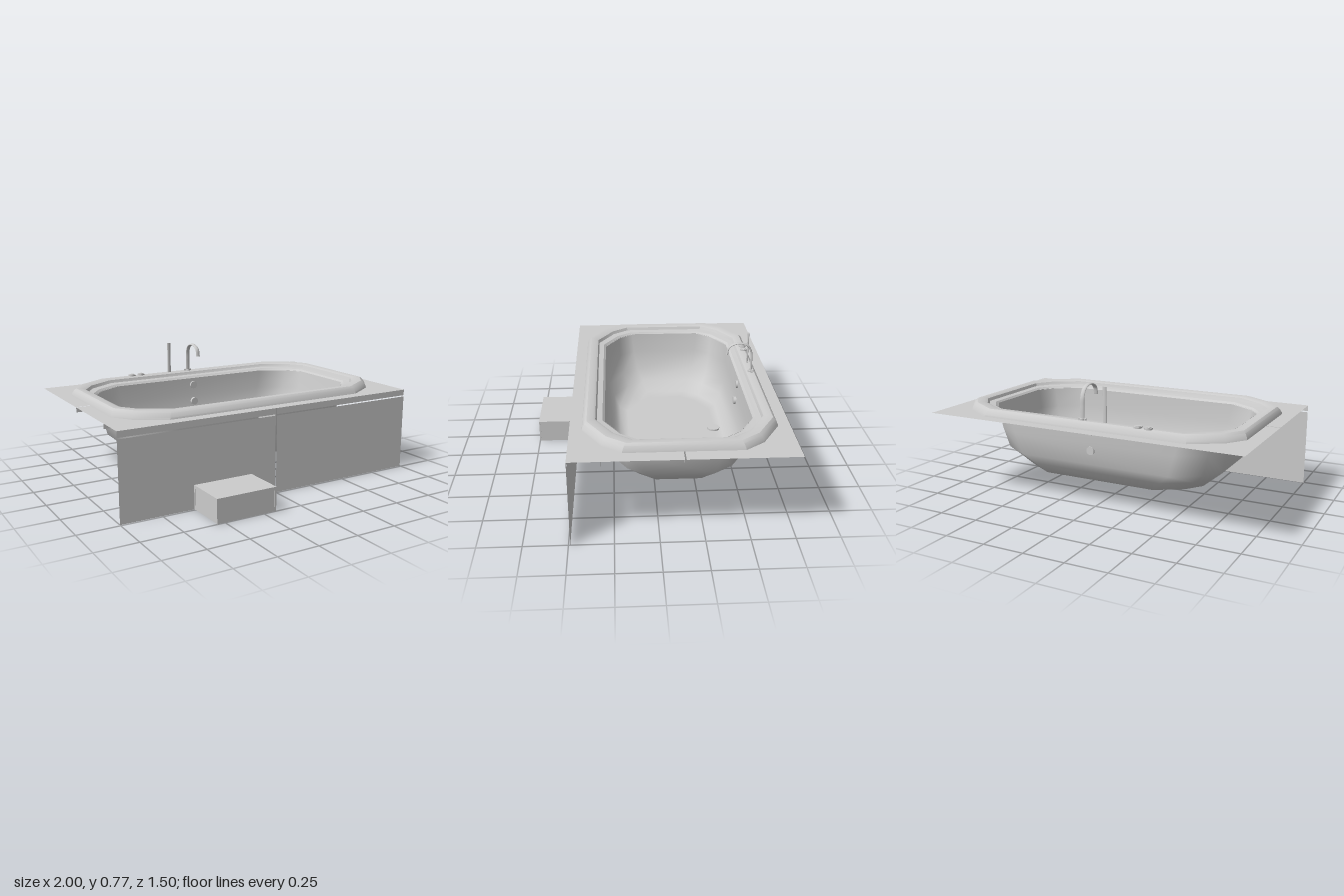
import * as THREE from 'three';
import { toCreasedNormals } from 'three/addons/utils/BufferGeometryUtils.js';

const CZ = -0.13; // centre of tub and deck in z
const DECK_Y = 0.52;
const GAP = 0.004; // half width of panel seams

export function createModel() {
  const root = new THREE.Group();
  const mat = new THREE.MeshStandardMaterial({ color: 0xcccccc, side: THREE.DoubleSide });

  const add = (name, geo, x = 0, y = 0, z = 0, parent = root) => {
    const m = new THREE.Mesh(geo, mat);
    m.name = name;
    m.position.set(x, y, z);
    parent.add(m);
    return m;
  };
  const group = (name) => {
    const g = new THREE.Group();
    g.name = name;
    root.add(g);
    return g;
  };

  // Sheets lying in the xy plane and in the zy plane
  const sheetXY = (name, x0, x1, y0, y1, z, parent) =>
    add(name, new THREE.PlaneGeometry(x1 - x0, y1 - y0), (x0 + x1) / 2, (y0 + y1) / 2, z, parent);
  const sheetZY = (name, z0, z1, y0, y1, x, parent) =>
    add(name, new THREE.PlaneGeometry(z1 - z0, y1 - y0).rotateY(Math.PI / 2), x, (y0 + y1) / 2, (z0 + z1) / 2, parent);

  // Twelve-sided outline with cut corners, as [x, z] pairs
  const outline = (hx, hz, k = 1) => {
    const c = [[hx, hz - 0.22 * k], [hx - 0.08 * k, hz - 0.11 * k], [hx - 0.26 * k, hz]];
    const flip = (sx, sz) => c.map(([x, z]) => [x * sx, z * sz]);
    return [...c, ...flip(-1, 1).reverse(), ...flip(-1, -1), ...flip(1, -1).reverse()];
  };

  // Surface joining outlines given as [halfX, halfZ, y, cornerScale]
  const loft = (rings) => {
    const pos = [], idx = [], n = 12;
    rings.forEach(([hx, hz, y, k]) => outline(hx, hz, k).forEach(([x, z]) => pos.push(x, y, z)));
    for (let r = 0; r < rings.length - 1; r++) {
      for (let i = 0; i < n; i++) {
        const a = r * n + i, b = r * n + ((i + 1) % n);
        idx.push(a, a + n, b, b, a + n, b + n);
      }
    }
    const g = new THREE.BufferGeometry();
    g.setAttribute('position', new THREE.Float32BufferAttribute(pos, 3));
    g.setIndex(idx);
    g.computeVertexNormals();
    return g;
  };

  // Tub: raised rim and smooth basin
  const tub = group('tub');
  const rimProfile = [
    [0, 0.52], [0.003, 0.53], [0.015, 0.553], [0.028, 0.565], [0.062, 0.565],
    [0.076, 0.558], [0.084, 0.54], [0.115, 0.535], [0.128, 0.522],
  ];
  const rim = loft(rimProfile.map(([d, y]) => [0.915 - d, 0.55 - d, y, 1 - d]));
  add('rim', toCreasedNormals(rim, 0.5), 0, 0, CZ, tub);
  add('basin', loft([
    [0.787, 0.425, 0.525, 0.87], [0.765, 0.42, 0.4, 0.9], [0.735, 0.405, 0.27, 0.95],
    [0.665, 0.37, 0.21, 0.95], [0.595, 0.332, 0.15, 0.9], [0.5, 0.28, 0.15, 0.8], [0, 0, 0.15, 0],
  ]), 0, 0, CZ, tub);

  // Drain and the two wall fittings
  const disc = (r, h) => new THREE.CylinderGeometry(r, r, h, 24);
  add('drain', disc(0.04, 0.012), -0.015, 0.154, -0.41, tub);
  add('overflow', disc(0.025, 0.014).rotateX(Math.PI / 2), 0, 0.475, -0.547, tub);
  add('inlet', disc(0.025, 0.024).rotateX(Math.PI / 2), 0, 0.36, -0.542, tub);

  // Deck: two halves with a seam across the middle, cut out around the tub
  const deck = group('deck');
  for (const s of [-1, 1]) {
    const cut = outline(0.83, 0.465).slice(0, 6).map(([x, z]) => [x, CZ + s * z]);
    const seam = CZ + s * GAP, edge = CZ + s * 0.62;
    const pts = [[0.83, seam], ...cut, [-0.83, seam], [-1, seam], [-1, edge], [1, edge], [1, seam]];
    const shape = new THREE.Shape(pts.map(([x, z]) => new THREE.Vector2(x, z)));
    add('deckHalf', new THREE.ShapeGeometry(shape).rotateX(Math.PI / 2), 0, DECK_Y, 0, deck);
    // Short hanging braces under the deck ends
    const [x0, x1] = s < 0 ? [-1, -0.83] : [0.83, 1];
    for (const z of [CZ + GAP, 0.31]) sheetXY('brace', x0, x1, 0.49, DECK_Y, z, deck);
  }

  // Front apron: lower panels, top strips and a middle support
  const apron = group('apron');
  for (const [x0, x1] of [[-1, -GAP], [GAP, 1]]) {
    sheetXY('frontPanel', x0, x1, 0, 0.475, 0.49, apron);
    sheetXY('topStrip', x0, x1, 0.483, DECK_Y, 0.49, apron);
  }
  sheetZY('middleSupport', 0.31, 0.49, 0, DECK_Y, -GAP * 2, apron);

  // Step: hollow box with a frame and inset panels
  const step = group('step');
  const [sx0, sx1, sz0, sz1, sh] = [-0.55, -0.17, 0.49, 0.75, 0.145];
  add('stepTop', new THREE.BoxGeometry(sx1 - sx0, 0.02, sz1 - sz0),
    (sx0 + sx1) / 2, sh - 0.01, (sz0 + sz1) / 2, step);
  for (const x of [sx0, sx1]) {
    const inward = x === sx0 ? 0.005 : -0.005;
    add('stepPost', new THREE.BoxGeometry(0.01, 0.125, 0.01), x + inward, 0.0625, sz1 - 0.005, step);
    add('stepRearPost', new THREE.BoxGeometry(0.01, 0.125, 0.01), x + inward, 0.0625, sz0 + 0.005, step);
    sheetZY('stepSide', sz0 + 0.01, sz1 - 0.01, 0, 0.125, x + inward * 0.5, step);
  }
  sheetXY('stepFront', sx0 + 0.01, sx1 - 0.01, 0, 0.125, sz1 - 0.003, step);

  // Spout: arched flattened tube on a base
  const faucet = group('faucet');
  const path = new THREE.CatmullRomCurve3([
    [0.56, -0.632], [0.64, -0.632], [0.7, -0.628], [0.74, -0.605], [0.757, -0.56],
    [0.752, -0.52], [0.73, -0.487], [0.685, -0.475],
  ].map(([y, z]) => new THREE.Vector3(0, y, z)));
  add('spout', new THREE.TubeGeometry(path, 40, 0.006, 12).scale(2.3, 1, 1), 0, 0, 0, faucet);
  add('spoutBase', new THREE.BoxGeometry(0.05, 0.012, 0.012), 0, 0.569, -0.636, faucet);
  add('spoutCollar', disc(0.018, 0.01), 0, 0.569, -0.632, faucet);

  // Hand shower and the two control knobs
  add('handShower', disc(0.005, 0.205).scale(2.4, 1, 1), -0.145, 0.667, -0.632, faucet);
  for (const x of [-0.42, -0.355]) {
    add('knob', disc(0.024, 0.01), x, 0.568, -0.643, faucet);
    add('knobCap', disc(0.016, 0.016), x, 0.568, -0.643, faucet);
  }

  return root;
}
